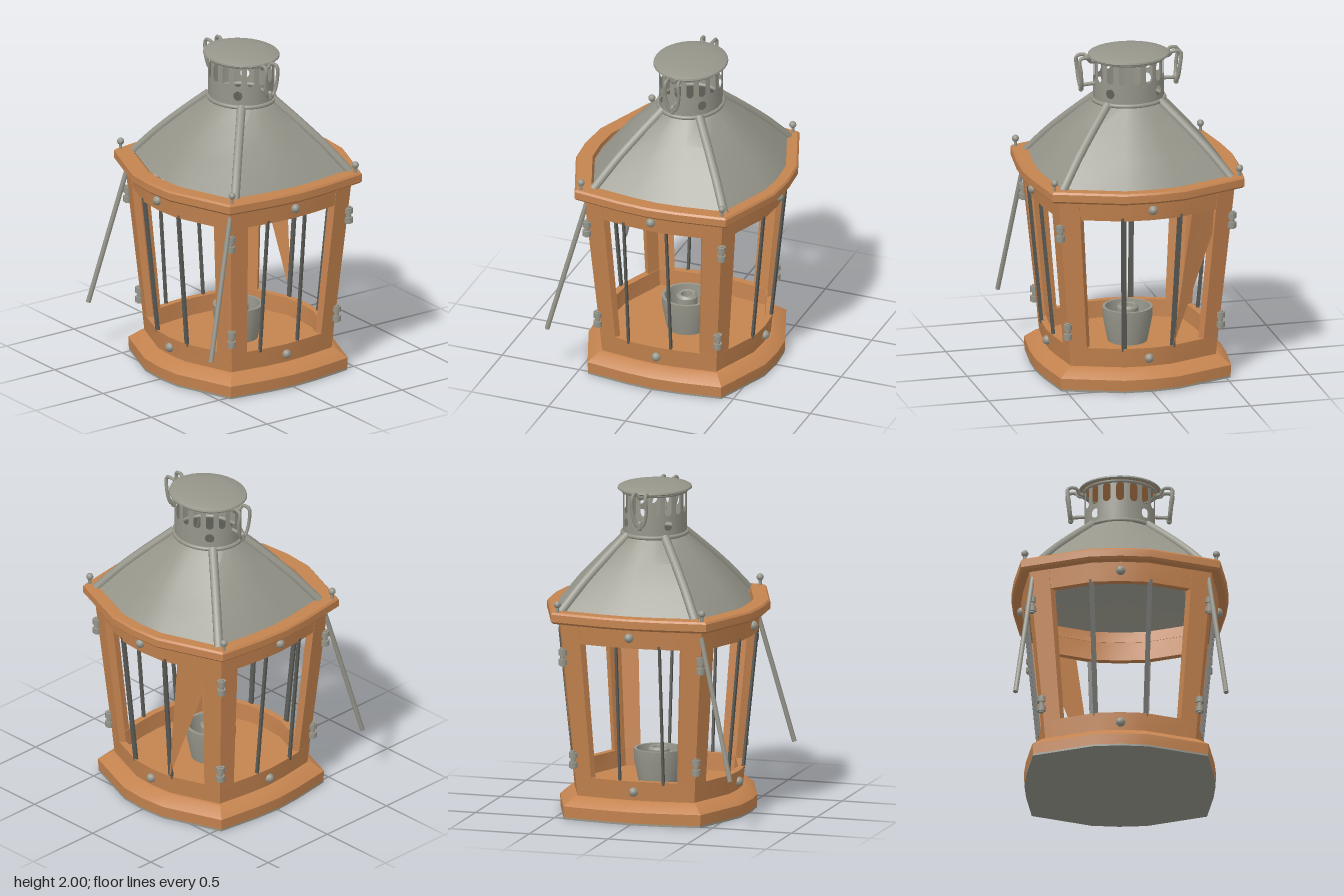
import * as THREE from 'three';
import { toCreasedNormals } from 'three/addons/utils/BufferGeometryUtils.js';

const V = (x, y, z) => new THREE.Vector3(x, y, z);
const mat = (name, color, side = THREE.FrontSide) => {
  const m = new THREE.MeshStandardMaterial({ color, side });
  m.name = name;
  return m;
};

// Plan of the lantern: a square with bulging sides, counter-clockwise from above
const Q = [[0.655, 0], [0.642, 0.19], [0.6, 0.49], [0.19, 0.645], [0, 0.66]];
const PLAN = [];
for (const i of [0, 1, 2, 3]) PLAN.push([Q[i][0], -Q[i][1]]);
for (const i of [4, 3, 2, 1]) PLAN.push([-Q[i][0], -Q[i][1]]);
for (const i of [0, 1, 2, 3]) PLAN.push([-Q[i][0], Q[i][1]]);
for (const i of [4, 3, 2, 1]) PLAN.push([Q[i][0], Q[i][1]]);

const ring = (s, y) => PLAN.map(([x, z]) => V(x * s, y, z * s));
const bodyScale = (y) => 0.77 + (y - 0.25) * 0.15;

// Skin a stack of rings; optionally join the last ring to the first or cap both ends
function loft(rings, { closed = false, caps = false, crease = 0.6 } = {}) {
  const n = rings[0].length, index = [];
  const pos = rings.flat().flatMap((p) => [p.x, p.y, p.z]);
  const count = closed ? rings.length : rings.length - 1;
  for (let r = 0; r < count; r++) {
    const a = r * n, b = ((r + 1) % rings.length) * n;
    for (let i = 0; i < n; i++) {
      const j = (i + 1) % n;
      index.push(a + i, a + j, b + j, a + i, b + j, b + i);
    }
  }
  if (caps) {
    const flat = rings[0].map((p) => new THREE.Vector2(p.x, -p.z));
    const top = (rings.length - 1) * n;
    for (const [a, b, c] of THREE.ShapeUtils.triangulateShape(flat, [])) {
      index.push(top + a, top + b, top + c, a, c, b);
    }
  }
  const g = new THREE.BufferGeometry();
  g.setAttribute('position', new THREE.Float32BufferAttribute(pos, 3));
  g.setIndex(index);
  return toCreasedNormals(g, crease);
}

export function createModel() {
  const model = new THREE.Group();
  model.name = 'lantern';
  const copper = mat('copper', 0xc4834f);
  const copperSheet = mat('copper sheet', 0xc4834f, THREE.DoubleSide);
  const metal = mat('grey metal', 0x96968b);
  const sheet = mat('grey sheet metal', 0x96968b, THREE.DoubleSide);
  const dark = mat('dark metal', 0x5a5b56);

  const add = (name, geo, material, parent = model) => {
    const m = new THREE.Mesh(geo, material);
    m.name = name;
    parent.add(m);
    return m;
  };
  // Put an upright part between two points
  const between = (mesh, a, b) => {
    mesh.position.copy(a).add(b).multiplyScalar(0.5);
    mesh.quaternion.setFromUnitVectors(V(0, 1, 0), b.clone().sub(a).normalize());
    return mesh;
  };
  const rod = (name, a, b, r, material, parent) =>
    between(add(name, new THREE.CylinderGeometry(r, r, a.distanceTo(b), 8), material, parent), a, b);
  const bar = (name, a, b, w, d) =>
    between(add(name, new THREE.BoxGeometry(w, a.distanceTo(b), d), dark), a, b);

  // Base: flared foot, lower rail and floor in one skin, with a grey plate below
  const profile = (list) => list.map(([s, y]) => ring(s, y));
  add('base', loft(profile([[0.88, 0.012], [0.885, 0.08], [0.78, 0.135], [0.755, 0.137],
    [0.772, 0.255], [0.71, 0.255], [0.7, 0.15], [0.001, 0.15]])), copper);
  add('bottomPlate', loft(profile([[0.001, 0], [0.88, 0], [0.88, 0.012]])), metal);

  // Upper rail and the wide eaves rim
  add('upperRail', loft(profile([[0.893, 1.09], [0.912, 1.22], [0.845, 1.22], [0.83, 1.09]]),
    { closed: true }), copper);
  add('eavesRim', loft(profile([[0.98, 1.212], [1, 1.225], [1, 1.27], [0.985, 1.282],
    [0.85, 1.282], [0.84, 1.212]]), { closed: true }), copper);

  // L-shaped corner posts that lean outwards
  for (const k of [2, 6, 10, 14]) {
    const c = PLAN[k];
    const to = (i) => {
      const e = PLAN[i], f = Math.abs(e[0]) < 0.3 ? 0.31 : 0.44;
      return [c[0] + (e[0] - c[0]) * f, c[1] + (e[1] - c[1]) * f];
    };
    const a = to(k - 1), b = to(k + 1);
    const section = (y) => {
      const s = bodyScale(y);
      const outer = [a, c, b].map(([x, z]) => V(x * s, y, z * s));
      const inner = [b, c, a].map(([x, z]) => V(x * s * 0.93, y, z * s * 0.93));
      return [...outer, ...inner];
    };
    add('cornerPost', loft([section(0.14), section(1.215)], { caps: true }), copper);

    // Hinges on the corner
    for (const y of [0.36, 1.0]) {
      const s = bodyScale(y) * 1.01, hinge = new THREE.Group();
      hinge.name = 'hinge';
      hinge.position.set(c[0] * s, y, c[1] * s);
      add('hingePin', new THREE.CylinderGeometry(0.016, 0.016, 0.11, 8), metal, hinge);
      for (const dy of [-0.03, 0.03]) {
        add('hingeKnuckle', new THREE.CylinderGeometry(0.027, 0.027, 0.035, 8), metal, hinge).position.y = dy;
      }
      model.add(hinge);
    }

    // Round-headed stud on the rim
    const sx = Math.sign(c[0]) * 0.577, sz = Math.sign(c[1]) * 0.457;
    rod('studStem', V(sx, 1.27, sz), V(sx, 1.32, sz), 0.01, metal);
    add('studHead', new THREE.SphereGeometry(0.022, 10, 8), metal).position.set(sx, 1.33, sz);
  }

  // Bolts in the middle of every rail
  for (const y of [0.19, 1.155]) {
    const s = y < 0.5 ? 0.765 : 0.905;
    for (const k of [0, 4, 8, 12]) {
      add('bolt', new THREE.SphereGeometry(0.029, 10, 8), metal)
        .position.set(PLAN[k][0] * s, y, PLAN[k][1] * s);
    }
  }

  // Thin glazing bars and the two loose front rods
  const lo = bodyScale(0.24) * 0.98, hi = bodyScale(1.11) * 0.98;
  for (const side of [-1, 1]) {
    for (const x of [-0.2, 0.2]) {
      bar('glazingBar', V(x * lo, 0.24, side * 0.645 * lo), V(x * hi, 1.11, side * 0.645 * hi), 0.03, 0.014);
    }
    for (const z of [0.185, -0.09]) {
      bar('glazingBar', V(side * 0.645 * lo, 0.24, z), V(side * 0.645 * hi, 1.11, z), 0.02, 0.014);
    }
    rod('looseRod', V(side * 0.525, 1.225, 0.425), V(side * 0.635, 0.32, 0.655), 0.015, metal);
  }

  // Bent copper flap in the back opening
  const flap = new THREE.BufferGeometry();
  flap.setAttribute('position', new THREE.Float32BufferAttribute([
    -0.42, 1.1, -0.47, -0.42, 0.97, -0.46, -0.15, 0.25, -0.5, -0.26, 1.1, -0.54], 3));
  flap.setIndex([0, 1, 2, 0, 2, 3]);
  flap.computeVertexNormals();
  add('backFlap', flap, copperSheet);

  // Candle cup with a small inner holder
  const lathe = (pts, n = 24) =>
    toCreasedNormals(new THREE.LatheGeometry(pts.map((p) => new THREE.Vector2(...p)), n), 0.6);
  add('candleCup', lathe([[0.12, 0.15], [0.15, 0.3], [0.152, 0.365], [0.135, 0.365], [0.12, 0.2], [0, 0.2]]), metal);
  add('candleHolder', lathe([[0.065, 0.2], [0.065, 0.36], [0.05, 0.375], [0.035, 0.37], [0.03, 0.3], [0, 0.3]]), metal);

  // Roof: the bulging plan blends into the round neck
  const roofRing = (t, y) => PLAN.map(([x, z]) => {
    const a = Math.atan2(z, x);
    return V(THREE.MathUtils.lerp(x * 0.875, Math.cos(a) * 0.212, t), y,
      THREE.MathUtils.lerp(z * 0.865, Math.sin(a) * 0.188, t) - 0.027);
  });
  const roof = [[0, 1.272], [0.32, 1.425], [0.66, 1.565], [1, 1.695]].map(([t, y]) => roofRing(t, y));
  add('roof', loft(roof, { crease: 0.5 }), sheet);
  for (const k of [2, 6, 10, 14]) {
    const path = new THREE.CatmullRomCurve3(roof.map((r) => r[k]));
    add('roofRib', new THREE.TubeGeometry(path, 10, 0.028, 8), metal);
  }

  // Chimney, slightly narrower from front to back
  const chimney = new THREE.Group();
  chimney.name = 'chimney';
  chimney.position.z = -0.025;
  chimney.scale.z = 0.89;
  model.add(chimney);
  const N = 16, R = 0.212, half = R * Math.tan(Math.PI / N);
  for (let i = 0; i < N; i++) {
    const panel = new THREE.Shape([[-half, 1.685], [half, 1.685], [half, 1.965], [-half, 1.965]]
      .map((p) => new THREE.Vector2(...p)));
    const slot = new THREE.Path();
    slot.absarc(0, 1.925, 0.024, 0, Math.PI);
    slot.absarc(0, 1.85, 0.024, Math.PI, Math.PI * 2);
    panel.holes.push(slot);
    if (i % 4 === 2) panel.holes.push(new THREE.Path().absarc(0, 1.765, 0.03, 0, Math.PI * 2));
    const g = new THREE.ShapeGeometry(panel, 6).translate(0, 0, R).rotateY(i * Math.PI * 2 / N);
    // round the shading of the panels
    const p = g.attributes.position;
    for (let j = 0; j < p.count; j++) {
      const n = V(p.getX(j), 0, p.getZ(j)).normalize();
      g.attributes.normal.setXYZ(j, n.x, 0, n.z);
    }
    add('chimneyPanel', g, sheet, chimney);
  }
  for (const [y, r] of [[1.695, 0.218], [1.955, 0.215]]) {
    add('chimneyBand', new THREE.TorusGeometry(r, 0.013, 8, 32).rotateX(Math.PI / 2), metal, chimney).position.y = y;
  }
  add('cap', lathe([[0.235, 1.958], [0.25, 1.966], [0.247, 1.976], [0.235, 1.982], [0.16, 1.995], [0, 2]], 32), metal, chimney);
  add('capLining', new THREE.CircleGeometry(0.235, 32).rotateX(Math.PI / 2), copper, chimney).position.y = 1.958;

  // Double-strand handle on each side of the chimney
  for (const s of [-1, 1]) {
    for (const w of [-1, 1]) {
      const pts = [[0.205, 1.94, 0.01], [0.245, 1.945, 0.02], [0.262, 1.972, 0.04], [0.312, 1.968, 0.045],
        [0.308, 1.88, 0.05], [0.3, 1.8, 0.03], [0.295, 1.775, 0.005]].map(([x, y, z]) => V(s * x, y, w * z));
      add('handleStrand', new THREE.TubeGeometry(new THREE.CatmullRomCurve3(pts), 24, 0.012, 6), metal, chimney);
    }
    rod('handlePin', V(s * 0.2, 1.8, 0), V(s * 0.3, 1.795, 0), 0.012, metal, chimney);
    add('handleKnob', new THREE.CapsuleGeometry(0.016, 0.03, 4, 8), metal, chimney).position.set(s * 0.297, 1.785, 0);
  }
  return model;
}
